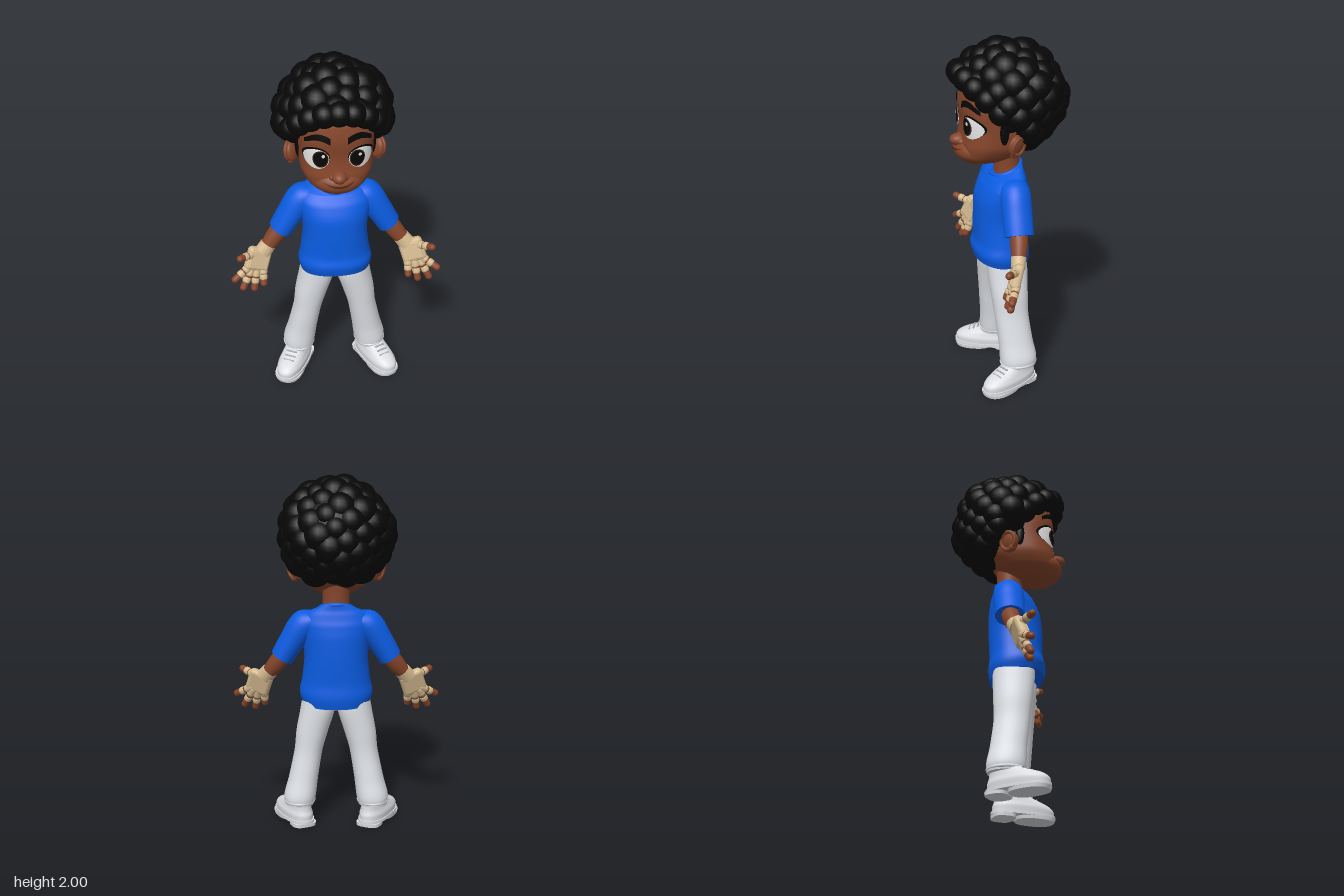
import * as THREE from 'three';
import { RoundedBoxGeometry } from 'three/addons/geometries/RoundedBoxGeometry.js';

const paint = (name, hex) => {
  const m = new THREE.MeshStandardMaterial({ color: hex });
  m.name = name;
  return m;
};

const V = (x, y, z) => new THREE.Vector3(x, y, z);

// Smooth body through cross-sections [x, y, z, halfWidth, halfDepth, tilt].
// Upright sections stay level; otherwise they turn with the path.
function loft(sections, { upright = true, power = 2, sides = 32, steps = 5 } = {}) {
  const path = new THREE.CatmullRomCurve3(sections.map(s => V(s[0], s[1], s[2])));
  const size = new THREE.CatmullRomCurve3(sections.map(s => V(s[3], s[4], s[5] || 0)));
  const rows = (sections.length - 1) * steps;
  const pos = [], index = [];
  const bend = w => Math.sign(w) * Math.abs(w) ** (2 / power);
  const ring = t => {
    const c = path.getPoint(t), r = size.getPoint(t);
    const d = upright ? V(0, 1, 0) : path.getTangent(t);
    const u = d.clone().cross(V(0, 0, 1)).normalize(), v = u.clone().cross(d);
    for (let j = 0; j < sides; j++) {
      const a = j / sides * Math.PI * 2, k = bend(Math.sin(a)) * r.y;
      const p = c.clone().addScaledVector(u, bend(Math.cos(a)) * r.x).addScaledVector(v, k);
      pos.push(p.x, p.y + r.z * k, p.z);
    }
  };
  for (let i = 0; i <= rows; i++) ring(i / rows);
  for (let i = 0; i < rows; i++) for (let j = 0; j < sides; j++) {
    const a = i * sides + j, b = i * sides + (j + 1) % sides;
    index.push(a, a + sides, b, b, a + sides, b + sides);
  }
  // End caps with their own rims, so the edges stay sharp
  for (const end of [0, 1]) {
    const start = pos.length / 3, c = path.getPoint(end);
    ring(end);
    pos.push(c.x, c.y, c.z);
    for (let j = 0; j < sides; j++) {
      const a = start + j, b = start + (j + 1) % sides;
      index.push(start + sides, ...(end ? [b, a] : [a, b]));
    }
  }
  const g = new THREE.BufferGeometry();
  g.setAttribute('position', new THREE.Float32BufferAttribute(pos, 3));
  g.setIndex(index);
  g.computeVertexNormals();
  return g;
}

export function createModel() {
  const model = new THREE.Group();
  model.name = 'boy';
  const skin = paint('skin', 0x85452a), black = paint('hair black', 0x070707);
  const blue = paint('shirt blue', 0x0b5ce2), cloth = paint('trouser white', 0xe2e5ea);
  const shoeWhite = paint('shoe white', 0xdcdee2), laceGrey = paint('lace grey', 0xa4a7ad);
  const tan = paint('glove tan', 0xd3b98f), white = paint('eye white', 0xf2f2f2);
  const brown = paint('iris brown', 0x3a1d10), lip = paint('mouth brown', 0x4f2415);

  const add = (name, geo, mat, parent = model) => {
    const m = new THREE.Mesh(geo, mat);
    m.name = name;
    parent.add(m);
    return m;
  };
  const ball = (name, mat, p, r, parent = model, seg = 24) => {
    const m = add(name, new THREE.SphereGeometry(1, seg, Math.round(seg * 0.7)), mat, parent);
    m.position.set(...p);
    m.scale.set(...r);
    return m;
  };
  const rod = (name, mat, a, b, r, parent) => {
    const d = b.clone().sub(a);
    const m = add(name, new THREE.CapsuleGeometry(r, d.length(), 5, 14), mat, parent);
    m.position.copy(a).addScaledVector(d, 0.5);
    m.quaternion.setFromUnitVectors(V(0, 1, 0), d.normalize());
    return m;
  };

  // Head, muzzle and nose
  const head = add('head', loft([
    [0, 1.318, 0.14, 0.03, 0.05], [0, 1.335, 0.135, 0.095, 0.11], [0, 1.38, 0.11, 0.158, 0.16],
    [0, 1.45, 0.08, 0.195, 0.19], [0, 1.55, 0.055, 0.2, 0.2], [0, 1.65, 0.055, 0.203, 0.207],
    [0, 1.75, 0.04, 0.195, 0.205], [0, 1.84, 0.02, 0.14, 0.15]], { power: 2.7, sides: 56 }), skin);
  const face = [head,
    ball('muzzle', skin, [0, 1.405, 0.19], [0.14, 0.078, 0.113], model, 36),
    ball('nose', skin, [0, 1.458, 0.272], [0.042, 0.034, 0.052])];
  for (const s of [-1, 1]) face.push(ball('nostril', skin, [s * 0.032, 1.454, 0.265], [0.023, 0.02, 0.026]));
  add('neck', loft([[0, 1.2, 0, 0.085, 0.075], [0, 1.3, 0.005, 0.075, 0.072], [0, 1.42, 0.01, 0.08, 0.08]]), skin);

  // Thin painted patches that follow the face
  const caster = new THREE.Raycaster();
  const patch = (name, mat, at, lift, bulge = 0, n = 10, m = 28) => {
    const g = new THREE.PlaneGeometry(1, 1, n, m), p = g.attributes.position;
    face.forEach(f => f.updateMatrixWorld());
    for (let i = 0; i < p.count; i++) {
      const u = p.getX(i) + 0.5, [x, y] = at(u, p.getY(i) + 0.5);
      caster.set(V(x, y, 1), V(0, 0, -1));
      const hit = caster.intersectObjects(face, false)[0];
      p.setXYZ(i, x, y, (hit ? hit.point.z : 0.1) + lift + bulge * (1 - u * u));
    }
    g.computeVertexNormals();
    return add(name, g, mat);
  };
  const oval = (cx, cy, rx, ry) => (u, v) =>
    [cx + rx * u * Math.cos(v * Math.PI * 2), cy + ry * u * Math.sin(v * Math.PI * 2)];
  patch('smile', lip, (u, v) => {
    const x = (u - 0.5) * 2;
    return [x * 0.082, 1.41 + 0.022 * x * x + (v - 0.5) * 0.012 * (1.1 - x * x)];
  }, 0.004, 0, 28, 2);
  for (const s of [-1, 1]) {
    patch('eyelid line', black, oval(s * 0.116, 1.565, 0.069, 0.062), 0.002);
    face.push(patch('eye', white, oval(s * 0.115, 1.558, 0.065, 0.059), 0.004, 0.009));
    patch('iris', brown, oval(s * 0.096, 1.56, 0.041, 0.05), 0.002);
    patch('pupil', black, oval(s * 0.096, 1.562, 0.035, 0.043), 0.004);
    patch('eye glint', white, oval(s * 0.096 + 0.014, 1.582, 0.009, 0.01), 0.006);
    patch('eyebrow', black, (u, v) => {
      const t = s > 0 ? u : 1 - u;
      return [s * (0.045 + 0.13 * t), 1.668 + 0.03 * Math.sin(t * 2.6) - 0.03 * t * t
        + (v - 0.5) * 0.038 * (1 - 0.4 * t * t)];
    }, 0.009, 0, 14, 3);

    // Ears and sideburns
    const ear = new THREE.Group();
    ear.name = 'ear';
    ear.position.set(s * 0.225, 1.476, 0.02);
    ear.rotation.set(0, s * 0.55, -s * 0.2);
    model.add(ear);
    ball('ear shell', skin, [0, 0, 0], [0.026, 0.062, 0.056], ear);
    const rim = add('ear rim', new THREE.TorusGeometry(0.046, 0.011, 10, 28), skin, ear);
    rim.rotation.y = Math.PI / 2;
    rim.scale.y = 1.12;
    rim.position.x = s * 0.018;
    ball('ear lobe', skin, [s * 0.01, -0.045, 0.018], [0.02, 0.021, 0.022], ear);
    ball('sideburn', black, [s * 0.194, 1.545, 0.075], [0.022, 0.075, 0.026]);
  }

  // Curly hair: a core covered in overlapping round curls
  const hair = new THREE.Group();
  hair.name = 'hair';
  model.add(hair);
  ball('hair core', black, [0, 1.68, -0.07], [0.26, 0.26, 0.235], hair, 32);
  const count = 100;
  for (let i = 0; i < count; i++) {
    const h = 1 - 2 * (i + 0.5) / count, a = i * 2.39996;
    const w = Math.sqrt(1 - h * h) ** (h < 0 ? 0.8 : 1);
    const r = 0.083 + 0.009 * Math.sin(i * 7.3);
    const p = [w * Math.cos(a) * 0.25, 1.67 + h * (h < 0 ? 0.205 : 0.246), w * Math.sin(a) * 0.253];
    const hairline = p[2] > -0.05 ? 1.53 + 0.8 * Math.max(0, p[2]) : 1.37;
    if (p[1] - r > hairline) ball('curl', black, p, [r, r, r], hair, 18);
  }
  for (let i = -4; i <= 4; i++) {
    const a = i * 0.3;
    ball('front curl', black, [0.25 * Math.sin(a), 1.828 - 0.25 * (1 - Math.cos(a)), 0.245 * Math.cos(a) + 0.015],
      [0.068, 0.068, 0.068], hair, 18);
  }
  for (const s of [-1, 1]) {
    ball('side curl', black, [s * 0.218, 1.612, 0.05], [0.055, 0.062, 0.055], hair, 18);
    ball('side curl', black, [s * 0.235, 1.575, -0.045], [0.07, 0.07, 0.065], hair, 18);
  }

  // Shirt body and collar
  add('shirt', loft([
    [0, 0.722, 0.045, 0.192, 0.148, 0.14], [0, 0.775, 0.046, 0.206, 0.158, 0.12], [0, 0.85, 0.042, 0.193, 0.148, 0.05],
    [0, 1, 0.038, 0.18, 0.15], [0, 1.1, 0.034, 0.192, 0.146], [0, 1.18, 0.022, 0.205, 0.125],
    [0, 1.235, 0.012, 0.175, 0.098, -0.1], [0, 1.266, 0.01, 0.1, 0.088, -0.38]], { power: 2.3, sides: 40 }), blue);
  const collar = add('collar', new THREE.TorusGeometry(0.088, 0.011, 10, 36), blue);
  collar.rotation.x = Math.PI / 2 + 0.36;
  collar.position.set(0, 1.264, 0.01);

  // Trouser seat
  add('trouser seat', loft([[0, 0.685, 0.033, 0.04, 0.085], [0, 0.72, 0.033, 0.14, 0.107], [0, 0.8, 0.035, 0.185, 0.12]],
    { power: 2.4 }), cloth);

  for (const s of [-1, 1]) {
    // Sleeve and forearm
    add('sleeve', loft([[s * 0.12, 1.2, 0.005, 0.055, 0.075], [s * 0.18, 1.165, 0.01, 0.084, 0.085],
      [s * 0.245, 1.075, 0.018, 0.073, 0.083], [s * 0.303, 0.978, 0.025, 0.066, 0.08]], { upright: false }), blue);
    add('forearm', loft([[s * 0.27, 1.03, 0.02, 0.05, 0.05], [s * 0.33, 0.945, 0.035, 0.05, 0.048],
      [s * 0.4, 0.855, 0.06, 0.036, 0.034]], { upright: false }), skin);

    // Gloved hand
    const hand = new THREE.Group();
    hand.name = 'hand';
    model.add(hand);
    add('glove cuff', loft([[s * 0.375, 0.89, 0.052, 0.046, 0.042], [s * 0.41, 0.845, 0.067, 0.05, 0.038]],
      { upright: false }), tan, hand);
    const palm = add('palm', new RoundedBoxGeometry(0.14, 0.14, 0.054, 4, 0.024), tan, hand);
    palm.position.set(s * 0.436, 0.815, 0.082);
    palm.rotation.set(-0.25, -s * 0.3, s * 0.3);
    const pad = add('palm pad', new RoundedBoxGeometry(0.115, 0.105, 0.018, 3, 0.008), tan, palm);
    pad.position.z = 0.025;
    const fingers = {
      thumb: [0.465, 0.855, 0.09, 0.535, 0.876, 0.155], index: [0.485, 0.78, 0.1, 0.57, 0.73, 0.15],
      middle: [0.475, 0.765, 0.1, 0.526, 0.667, 0.145], ring: [0.447, 0.755, 0.1, 0.464, 0.655, 0.14],
      little: [0.41, 0.76, 0.095, 0.41, 0.68, 0.132],
    };
    for (const [name, f] of Object.entries(fingers)) {
      const a = V(s * f[0], f[1], f[2]), b = V(s * f[3], f[4], f[5]);
      const along = t => a.clone().lerp(b, t);
      rod(name + ' finger', skin, a, b, 0.02, hand);
      rod(name + ' glove base', tan, a, along(0.25), 0.024, hand);
      rod(name + ' glove band', tan, along(0.54), along(0.62), 0.023, hand);
    }

    // Trouser leg with a turned cuff
    add('trouser leg', loft([[s * 0.1, 0.76, 0.035, 0.088, 0.115], [s * 0.104, 0.68, 0.033, 0.098, 0.114],
      [s * 0.135, 0.55, 0.03, 0.091, 0.105], [s * 0.16, 0.42, 0.025, 0.08, 0.097],
      [s * 0.188, 0.27, 0.01, 0.084, 0.098], [s * 0.207, 0.17, 0, 0.091, 0.105], [s * 0.21, 0.12, 0, 0.083, 0.1]]
      .reverse(), { power: 2.2 }), cloth);
    const cuff = add('trouser cuff', new THREE.TorusGeometry(0.082, 0.01, 8, 32), cloth);
    cuff.rotation.x = Math.PI / 2;
    cuff.scale.y = 1.17;
    cuff.position.set(s * 0.21, 0.138, 0);

    // Shoe, turned outward
    const shoe = new THREE.Group();
    shoe.name = 'shoe';
    shoe.position.set(s * 0.243, 0, 0.064);
    shoe.rotation.y = s * 0.45;
    model.add(shoe);
    add('shoe upper', loft([[0, 0.025, 0, 0.076, 0.179], [0, 0.06, 0, 0.078, 0.178], [0, 0.09, -0.012, 0.07, 0.157],
      [0, 0.12, -0.05, 0.062, 0.115], [0, 0.155, -0.08, 0.058, 0.078]], { power: 2.3 }), shoeWhite, shoe);
    add('shoe welt', loft([[0, 0.018, 0, 0.082, 0.185], [0, 0.036, 0, 0.082, 0.185]], { power: 2.4, steps: 1 }), shoeWhite, shoe);
    add('front sole', loft([[0, 0, 0.065, 0.078, 0.112], [0, 0.02, 0.065, 0.081, 0.118]], { power: 2.4, steps: 1 }), shoeWhite, shoe);
    add('heel sole', loft([[0, 0, -0.117, 0.07, 0.062], [0, 0.02, -0.117, 0.071, 0.064]], { power: 3, steps: 1 }), shoeWhite, shoe);
    for (let i = 0; i < 4; i++) {
      const y = 0.092 + i * 0.013, z = 0.12 - i * 0.026;
      rod('lace', laceGrey, V(-0.028, y, z), V(0.028, y, z), 0.005, shoe);
    }
  }
  return model;
}
